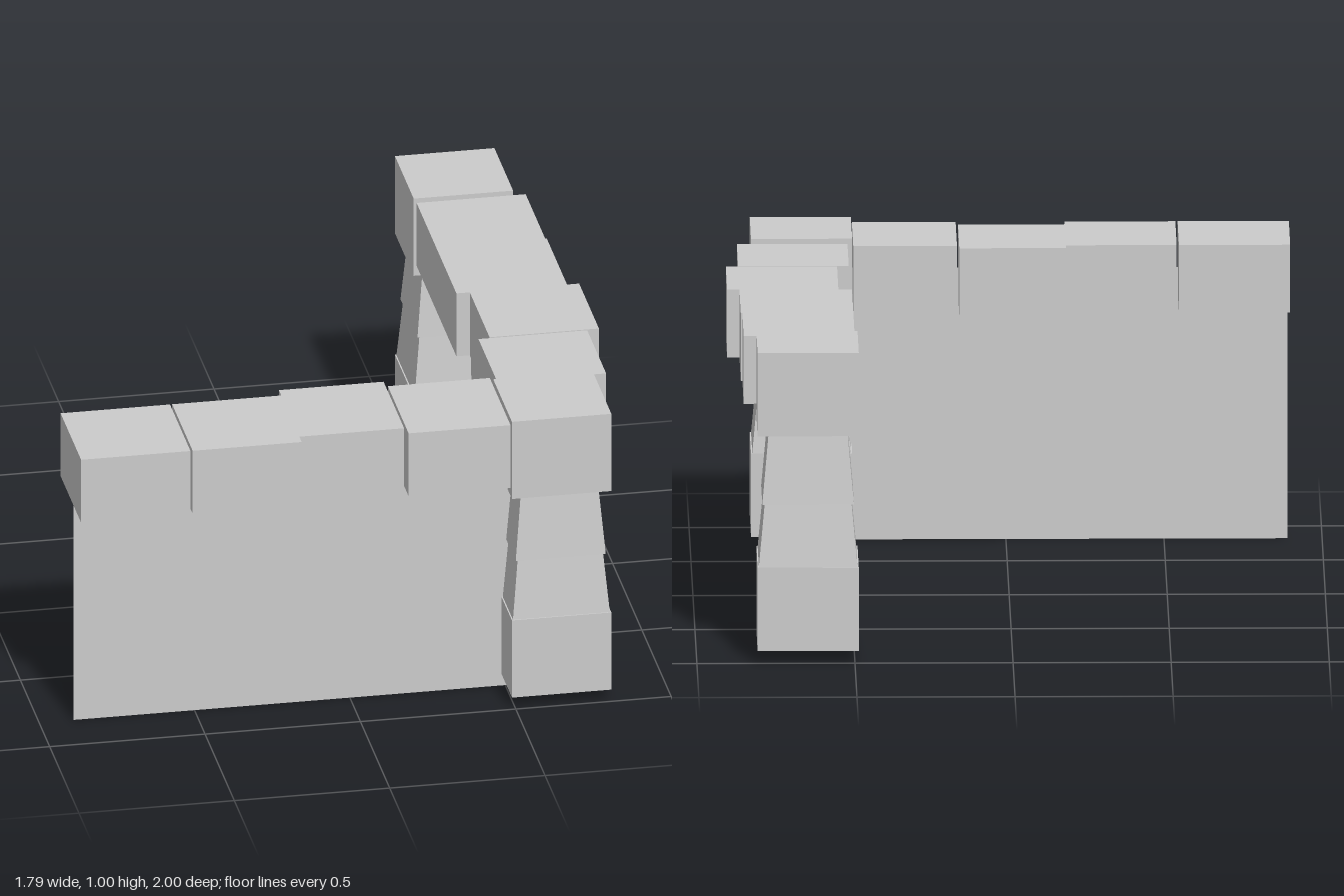
import * as THREE from 'three';

const mat = new THREE.MeshStandardMaterial({ color: 0xcccccc, flatShading: true });
const sheetMat = new THREE.MeshStandardMaterial({ color: 0xcccccc, flatShading: true, side: THREE.DoubleSide });

// Box given by its limits on each axis; the top can be narrowed to a given width
function block(name, [x0, x1], [y0, y1], [z0, z1], topWidth) {
  const w = x1 - x0;
  const geo = new THREE.BoxGeometry(w, y1 - y0, z1 - z0);
  if (topWidth) {
    const p = geo.attributes.position;
    for (let i = 0; i < p.count; i++) {
      if (p.getY(i) > 0) {
        p.setX(i, p.getX(i) * topWidth / w);
        p.setZ(i, p.getZ(i) * topWidth / w);
      }
    }
    geo.computeVertexNormals();
  }
  const mesh = new THREE.Mesh(geo, mat);
  mesh.name = name;
  mesh.position.set((x0 + x1) / 2, (y0 + y1) / 2, (z0 + z1) / 2);
  return mesh;
}

// Stone pillar: base block, two tapered stones and a cap block
function pillar(name, x, z) {
  const group = new THREE.Group();
  group.name = name;
  const stones = [
    ['base', 0.04, 0.31, 0.32, 0.32],
    ['lowerStone', 0.31, 0.51, 0.312, 0.275],
    ['upperStone', 0.51, 0.735, 0.29, 0.25],
    ['cap', 0.735, 1.005, 0.32, 0.32],
  ];
  for (const [part, y0, y1, bottom, top] of stones) {
    const h = bottom / 2;
    group.add(block(part, [-h, h], [y0, y1], [-h, h], top));
  }
  group.position.set(x, 0, z);
  return group;
}

// Thin wall sheet
function sheet(name, width, height, x, z, turn) {
  const mesh = new THREE.Mesh(new THREE.PlaneGeometry(width, height), sheetMat);
  mesh.name = name;
  mesh.position.set(x, height / 2, z);
  mesh.rotation.y = turn;
  return mesh;
}

export function createModel() {
  const model = new THREE.Group();
  model.name = 'cornerWall';

  model.add(pillar('cornerPillar', 0.648, 0.838));
  model.add(pillar('endPillar', 0.648, -0.84));

  model.add(sheet('frontWall', 1.41, 0.88, -0.185, 0.82, 0));
  model.add(sheet('sideWall', 1.41, 0.88, 0.675, -0.015, Math.PI / 2));

  // Coping stones along both walls
  const y = [0.77, 0.99];
  const frontStones = [
    [[-0.897, -0.545], [0.64, 0.99]],
    [[-0.538, -0.187], [0.64, 0.99]],
    [[-0.187, 0.15], [0.6, 0.95]],
    [[0.157, 0.485], [0.635, 0.99]],
  ];
  const sideStones = [
    [[0.503, 0.853], [0.346, 0.67]],
    [[0.54, 0.892], [0.002, 0.34]],
    [[0.497, 0.853], [-0.345, 0.002]],
    [[0.497, 0.848], [-0.678, -0.345]],
  ];
  frontStones.forEach(([x, z], i) => model.add(block(`frontCoping${i + 1}`, x, y, z)));
  sideStones.forEach(([x, z], i) => model.add(block(`sideCoping${i + 1}`, x, y, z)));

  return model;
}
